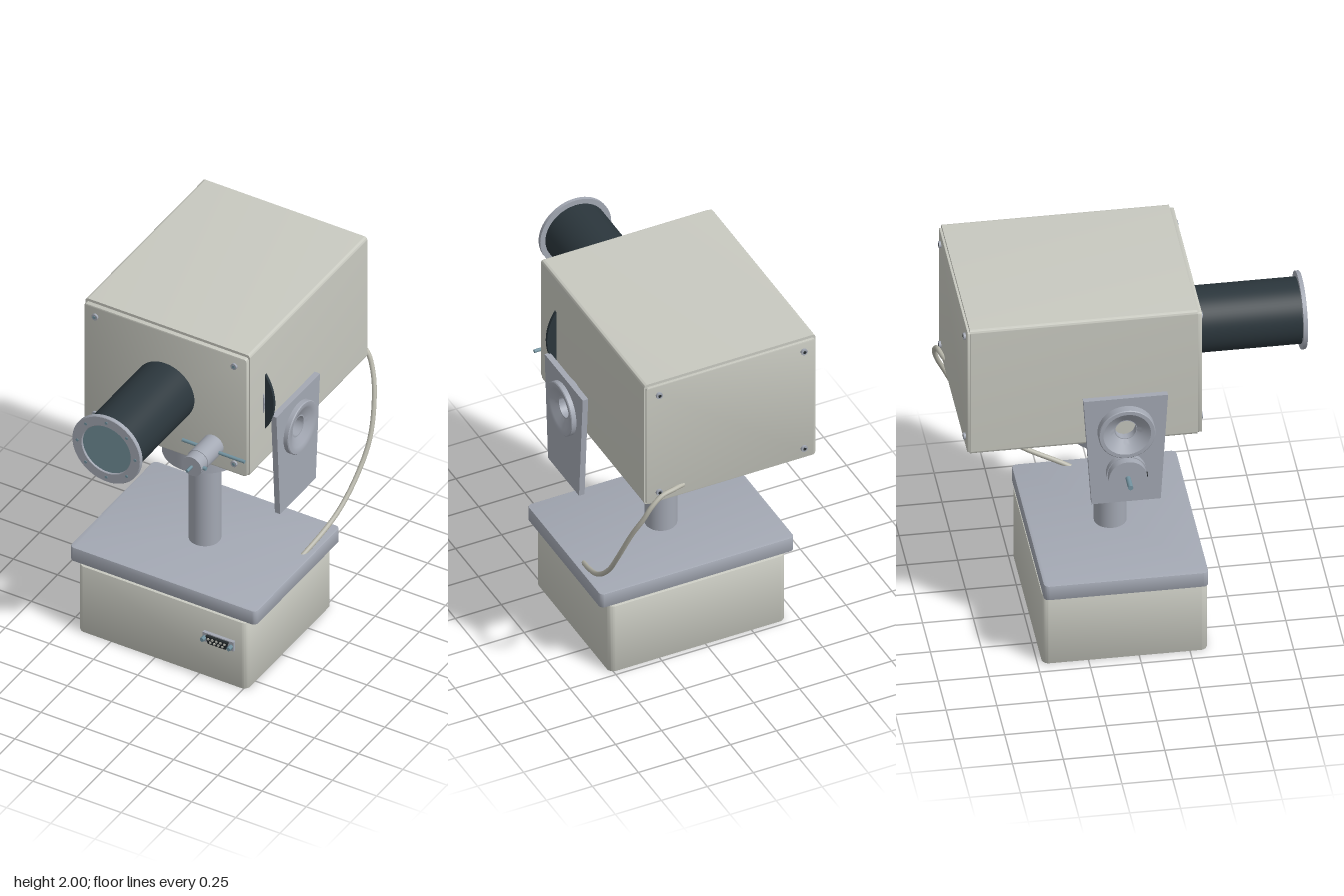
import * as THREE from 'three';
import { mergeVertices, toCreasedNormals } from 'three/addons/utils/BufferGeometryUtils.js';

const mat = (name, color) => {
  const m = new THREE.MeshStandardMaterial({ color });
  m.name = name;
  return m;
};

export function createModel() {
  const beige = mat('beige paint', 0xc8c9c0);
  const grey = mat('grey metal', 0xa3a8b3);
  const black = mat('black tube', 0x2b363c);
  const glass = mat('lens glass', 0x728f99);
  const steel = mat('blue steel', 0x7393a0);
  const cableMat = mat('cable sheath', 0xb9b8ac);
  const dark = mat('dark insert', 0x23282b);

  const model = new THREE.Group();
  const CX = 0.042, CZ = -0.07;

  const add = (name, geo, m, x = 0, y = 0, z = 0, parent = model) => {
    const mesh = new THREE.Mesh(geo, m);
    mesh.name = name;
    mesh.position.set(x, y, z);
    parent.add(mesh);
    return mesh;
  };
  const orient = (geo, axis) => {
    if (axis === 'z') geo.rotateX(Math.PI / 2);
    if (axis === 'x') geo.rotateZ(-Math.PI / 2);
    return geo;
  };
  // cylinder running from a to b along an axis, through point (u, v) on the other two axes
  const rod = (name, m, r, axis, a, b, u, v, seg = 40, parent = model) => {
    const geo = orient(new THREE.CylinderGeometry(r, r, b - a, seg), axis);
    const c = (a + b) / 2;
    const p = axis === 'x' ? [c, u, v] : axis === 'y' ? [u, c, v] : [u, v, c];
    return add(name, geo, m, ...p, parent);
  };
  const roundedRect = (w, h, r) => {
    const s = new THREE.Shape(), x = w / 2, y = h / 2;
    s.absarc(x - r, y - r, r, 0, Math.PI / 2);
    s.absarc(-x + r, y - r, r, Math.PI / 2, Math.PI);
    s.absarc(-x + r, -y + r, r, Math.PI, Math.PI * 1.5);
    s.absarc(x - r, -y + r, r, Math.PI * 1.5, Math.PI * 2);
    s.closePath();
    return s;
  };
  // centred slab with rounded outline in XY and a small edge bevel, depth along z
  const slab = (w, h, d, r, bevel) => {
    const geo = new THREE.ExtrudeGeometry(roundedRect(w - 2 * bevel, h - 2 * bevel, r), {
      depth: d - 2 * bevel, curveSegments: 6, bevelEnabled: bevel > 0,
      bevelSize: bevel, bevelThickness: bevel, bevelSegments: 2,
    });
    geo.translate(0, 0, -d / 2 + bevel);
    return toCreasedNormals(geo, 0.6);
  };
  const lathe = (pts, seg = 48) => toCreasedNormals(mergeVertices(
    new THREE.LatheGeometry(pts.map(p => new THREE.Vector2(...p)), seg)), 0.6);

  // Base cabinet, top plate and column
  add('baseCabinet', slab(0.96, 0.815, 0.4, 0.03, 0.006).rotateX(-Math.PI / 2), beige, CX, 0.2, CZ);
  add('basePlate', slab(1.055, 0.81, 0.082, 0.022, 0.004).rotateX(-Math.PI / 2), grey, CX, 0.45, CZ);
  rod('basePlateSpacer', grey, 0.2, 'y', 0.39, 0.42, CX, CZ);
  rod('column', grey, 0.08, 'y', 0.48, 1.04, CX, CZ);
  rod('azimuthHub', grey, 0.21, 'y', 1.03, 1.225, CX, CZ, 64);

  // Elevation drive on the right-hand side
  rod('elevationArm', grey, 0.098, 'x', -0.49, -0.05, 1.125, CZ);
  rod('elevationEndCap', grey, 0.094, 'x', -0.53, -0.49, 1.125, CZ);
  rod('elevationShaft', steel, 0.013, 'x', -0.615, -0.52, 1.125, CZ, 16);
  rod('endCapScrew', dark, 0.012, 'z', 0.015, 0.03, -0.508, 1.125, 12);

  // Trunnion plates with bored bearing bosses on both sides
  const plateShape = new THREE.Shape();
  plateShape.moveTo(-0.172, -0.425);
  plateShape.lineTo(0.168, -0.425);
  plateShape.lineTo(0.208, 0.185);
  plateShape.lineTo(-0.208, 0.185);
  plateShape.closePath();
  const bore = new THREE.Path();
  bore.absarc(0, 0, 0.052, 0, Math.PI * 2, true);
  plateShape.holes.push(bore);
  const plateGeo = new THREE.ExtrudeGeometry(plateShape, { depth: 0.03, bevelEnabled: false, curveSegments: 32 });
  plateGeo.translate(0, 0, -0.015).rotateY(Math.PI / 2);
  for (const [side, x, outer, inner] of [['left', 0.555, 0.597, 0.5], ['right', -0.445, -0.505, -0.41]]) {
    const s = Math.sign(x), rise = Math.abs(outer - x), back = Math.abs(x - inner);
    add(side + 'TrunnionPlate', plateGeo, grey, x, 1.365, CZ);
    const flare = [];
    for (let i = 0; i <= 8; i++) {
      const a = (i / 8) * Math.PI / 2;
      flare.push([0.052 + 0.065 * (1 - Math.sin(a)), rise - (rise - 0.012) * Math.cos(Math.PI / 2 - a)]);
    }
    const profile = [[0.052, -back], [0.14, -back], [0.14, rise - 0.004], [0.136, rise], ...flare, [0.052, -back]];
    const boss = add(side + 'BearingBoss', orient(lathe(profile), 'x'), grey, x, 1.365, CZ);
    if (s < 0) boss.rotation.y = Math.PI;
  }

  // Instrument housing with front and rear panels
  const HX = 0.045;
  add('housingShell', slab(0.93, 0.73, 1.12, 0.016, 0), beige, HX, 1.635, -0.27);
  add('frontPanel', slab(0.918, 0.71, 0.03, 0.01, 0.004), beige, HX, 1.63, 0.298);
  add('rearPanel', slab(0.918, 0.71, 0.025, 0.01, 0.004), beige, HX, 1.63, -0.83);
  for (const x of [-0.35, 0.437]) for (const y of [1.335, 1.927]) {
    rod('frontPanelScrew', grey, 0.017, 'z', 0.305, 0.324, x, y, 16);
    rod('frontScrewSocket', steel, 0.009, 'z', 0.32, 0.3255, x, y, 6);
    rod('rearPanelScrew', grey, 0.017, 'z', -0.854, -0.838, x, y, 16);
    rod('rearScrewSocket', dark, 0.009, 'z', -0.8555, -0.85, x, y, 6);
  }

  // Telescope tube, flange, window and flange screws
  rod('telescopeTube', black, 0.165, 'z', 0.3, 0.86, HX, 1.628, 64);
  const flange = lathe([[0.137, 0], [0.193, 0], [0.193, 0.018], [0.19, 0.021], [0.14, 0.021], [0.137, 0.018], [0.137, 0]], 64);
  add('telescopeFlange', orient(flange, 'z'), grey, HX, 1.628, 0.855);
  rod('telescopeWindow', glass, 0.138, 'z', 0.858, 0.866, HX, 1.628, 64);
  for (let i = 0; i < 8; i++) {
    const a = i * Math.PI / 4;
    rod('flangeScrew', steel, 0.008, 'z', 0.87, 0.8785, HX + 0.164 * Math.cos(a), 1.628 + 0.164 * Math.sin(a), 10);
  }

  // Filter wheel protruding through the left wall
  rod('filterWheel', black, 0.297, 'z', 0.131, 0.147, 0.263, 1.628, 80);
  rod('filterWheelRim', grey, 0.254, 'z', 0.155, 0.164, 0.263, 1.628, 64);

  // Small sun sensor with cross rod and pin
  rod('sensorBody', grey, 0.058, 'z', 0.3, 0.46, 0.317, 1.402);
  rod('sensorCap', grey, 0.055, 'z', 0.46, 0.52, 0.317, 1.402);
  rod('sensorPin', steel, 0.008, 'z', 0.51, 0.565, 0.317, 1.402, 12);
  rod('sensorCrossRod', steel, 0.009, 'x', 0.167, 0.52, 1.402, 0.355, 12);
  rod('sensorClampScrew', steel, 0.01, 'x', 0.36, 0.388, 1.402, 0.5, 12);

  // Multi-pin connector on the base front
  const connector = new THREE.Group();
  connector.name = 'connector';
  connector.position.set(0.368, 0.25, 0.345);
  model.add(connector);
  add('connectorPlate', new THREE.BoxGeometry(0.175, 0.054, 0.02), grey, 0, 0, 0, connector);
  const dShape = new THREE.Shape([[-0.05, -0.021], [0.05, -0.021], [0.062, 0.021], [-0.062, 0.021]]
    .map(p => new THREE.Vector2(...p)));
  add('connectorShell', new THREE.ExtrudeGeometry(dShape, { depth: 0.02, bevelEnabled: false }), dark, 0, 0, 0.005, connector);
  for (let row = 0; row < 2; row++) for (let i = 0; i < 5 - (1 - row) * 1; i++) {
    const x = (i - (row ? 2 : 1.5)) * 0.023;
    rod('connectorPin', beige, 0.007, 'z', 0.02, 0.028, x, row ? 0.009 : -0.009, 8, connector);
  }
  for (const x of [-0.075, 0.075]) rod('connectorPost', steel, 0.012, 'z', 0, 0.038, x, 0, 6, connector);

  // Cable from the base to the rear panel
  const path = new THREE.CatmullRomCurve3([
    [0.45, 0.395, 0.03], [0.48, 0.42, -0.06], [0.53, 0.495, -0.22], [0.572, 0.6, -0.44], [0.592, 0.75, -0.61],
    [0.596, 0.9, -0.715], [0.562, 1.1, -0.81], [0.525, 1.2, -0.852], [0.49, 1.27, -0.866],
    [0.43, 1.32, -0.862], [0.36, 1.33, -0.852], [0.3, 1.33, -0.836],
  ].map(p => new THREE.Vector3(...p)));
  add('cable', new THREE.TubeGeometry(path, 90, 0.0125, 10), cableMat);

  return model;
}
